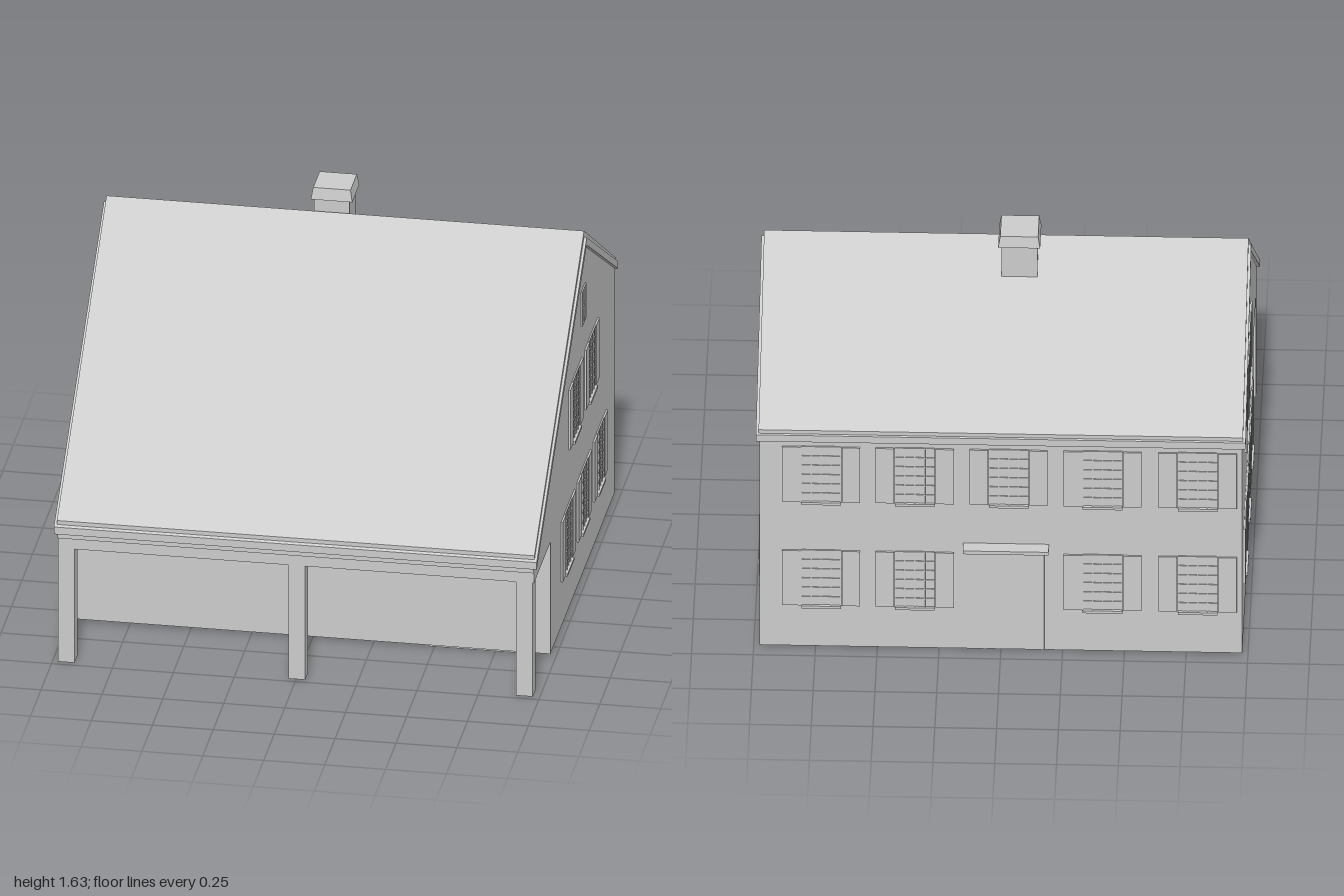
import * as THREE from 'three';

const material = new THREE.MeshStandardMaterial({ color: 0xcccccc, flatShading: true });

function add(parent, name, geometry) {
  const mesh = new THREE.Mesh(geometry, material);
  mesh.name = name;
  parent.add(mesh);
  return mesh;
}

// Box given by its min and max along each axis
function box(parent, name, [x0, x1], [y0, y1], [z0, z1]) {
  const mesh = add(parent, name, new THREE.BoxGeometry(x1 - x0, y1 - y0, z1 - z0));
  mesh.position.set((x0 + x1) / 2, (y0 + y1) / 2, (z0 + z1) / 2);
  return mesh;
}

// Extrude a (z, y) side profile across the width of the house
function sideExtrude(parent, name, profile, halfWidth) {
  const shape = new THREE.Shape(profile.map(([z, y]) => new THREE.Vector2(z, y)));
  const geometry = new THREE.ExtrudeGeometry(shape, { depth: 2 * halfWidth, bevelEnabled: false });
  geometry.rotateY(-Math.PI / 2).translate(halfWidth, 0, 0);
  return add(parent, name, geometry);
}

// Window facing local +z, centred on the origin, with a grid of glazing bars
function makeWindow(name, w, h, cols, rows, shuttered) {
  const group = new THREE.Group();
  group.name = name;
  const bar = 0.005;
  box(group, 'glass', [-w / 2, w / 2], [-h / 2, h / 2], [-0.01, 0.002]);
  for (let i = 0; i <= cols; i++) {
    const x = -w / 2 + (w * i) / cols;
    box(group, 'uprightBar', [x - bar / 2, x + bar / 2], [-h / 2, h / 2], [0, 0.006]);
  }
  for (let j = 0; j <= rows; j++) {
    const y = -h / 2 + (h * j) / rows;
    box(group, 'crossBar', [-w / 2, w / 2], [y - bar / 2, y + bar / 2], [0, 0.006]);
  }
  if (shuttered) {
    for (const s of [-1, 1]) {
      const shutter = box(group, 'shutter', [-0.037, 0.037], [-h / 2 + 0.005, h / 2], [0, 0.008]);
      shutter.position.x = s * (w / 2 + 0.041);
    }
    box(group, 'sill', [-w / 2, w / 2], [-h / 2 - 0.006, -h / 2 + 0.006], [0, 0.014]);
  }
  return group;
}

export function createModel() {
  const house = new THREE.Group();
  house.name = 'house';
  const wallX = 0.977, backZ = -0.942;

  // Walls, with the upper floor reaching out over the open porch
  sideExtrude(house, 'walls', [
    [0.59, 0.01], [0.59, 0.51], [0.978, 0.51], [0.978, 0.592],
    [-0.2, 1.49], [backZ, 1.025], [backZ, 0.01],
  ], wallX);

  // Roof covering and the trim beneath it
  sideExtrude(house, 'roof', [
    [0.987, 0.637], [-0.2, 1.535], [-0.946, 1.066],
    [-0.946, 1.03], [-0.2, 1.5], [0.987, 0.6],
  ], 0.98);
  sideExtrude(house, 'roofTrim', [
    [0.997, 0.612], [-0.2, 1.507], [-0.952, 1.045],
    [-0.952, 1.013], [-0.2, 1.472], [0.997, 0.58],
  ], 0.991);
  box(house, 'porchMoulding', [-wallX, wallX], [0.558, 0.592], [0.97, 0.987]);

  // Porch posts
  for (const x of [-0.943, 0.003, 0.937]) {
    box(house, 'porchPost', [x - 0.034, x + 0.034], [0, 0.515], [0.908, 0.976]);
  }
  box(house, 'porchSill', [0.48, 0.84], [0, 0.012], [0.44, 0.58]);

  // Chimney with a tapered cap
  box(house, 'chimney', [-0.13, 0.014], [1.38, 1.59], [-0.358, -0.213]);
  const cap = new THREE.CylinderGeometry(0.153 * Math.SQRT1_2, 0.17 * Math.SQRT1_2, 0.05, 4);
  cap.rotateY(Math.PI / 4);
  add(house, 'chimneyCap', cap).position.set(-0.057, 1.61, -0.287);

  // Side windows on both gable walls
  const lowY = 0.343, highY = 0.85, winW = 0.16, winH = 0.272;
  for (const side of [-1, 1]) {
    const place = (z, y) => {
      const win = makeWindow('sideWindow', winW, winH, 4, 6, true);
      win.position.set(side * wallX, y, z);
      win.rotation.y = (side * Math.PI) / 2;
      house.add(win);
    };
    for (const z of [0.177, -0.203, -0.585]) place(z, lowY);
    for (const z of [-0.005, -0.386]) place(z, highY);
  }

  // Small attic window
  const attic = makeWindow('atticWindow', 0.09, 0.15, 2, 2, false);
  attic.position.set(wallX, 1.208, -0.195);
  attic.rotation.y = Math.PI / 2;
  house.add(attic);

  // Back windows: five above, four below beside the door
  [-0.797, -0.412, -0.032, 0.348, 0.727].forEach((x, i) => {
    for (const y of i === 2 ? [highY] : [lowY, highY]) {
      const win = makeWindow('backWindow', winW, winH, 4, 6, true);
      win.position.set(x, y, backZ);
      win.rotation.y = Math.PI;
      house.add(win);
    }
  });

  // Back door with frame, side panels and canopy
  const doorX = -0.027, face = [backZ - 0.005, backZ + 0.01];
  box(house, 'door', [doorX - 0.085, doorX + 0.085], [0.012, 0.46], [backZ - 0.003, backZ + 0.01]);
  for (const s of [-1, 1]) {
    for (const d of [0.09, 0.143]) {
      const x = doorX + s * d;
      box(house, 'doorJamb', [x - 0.006, x + 0.006], [0.012, 0.512], face);
    }
  }
  box(house, 'doorLintel', [doorX - 0.149, doorX + 0.149], [0.46, 0.512], face);
  box(house, 'doorCanopy', [-0.195, 0.152], [0.51, 0.526], [-1, backZ + 0.01]);

  return house;
}
